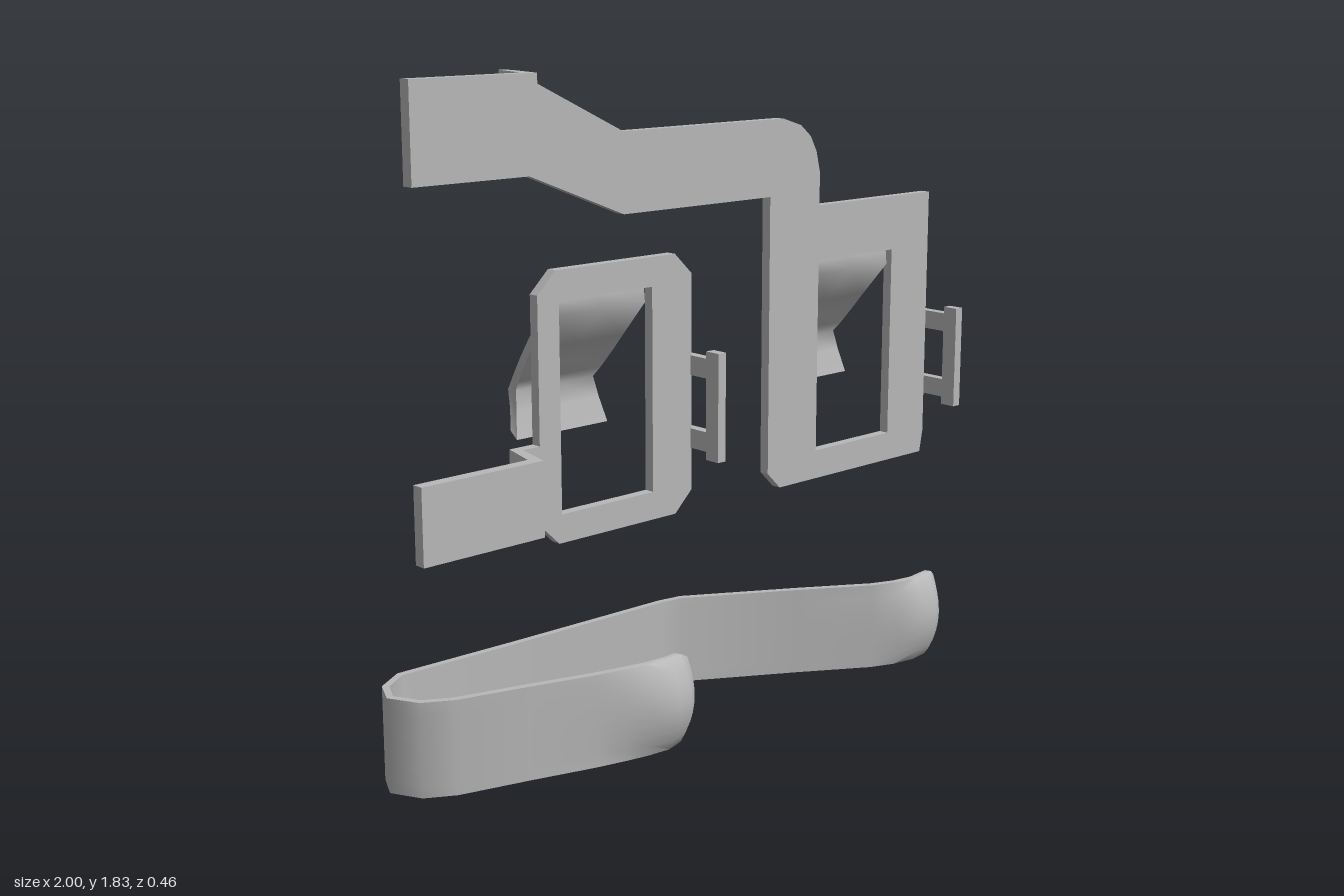
import * as THREE from 'three';
import { toCreasedNormals } from 'three/addons/utils/BufferGeometryUtils.js';

const metal = new THREE.MeshStandardMaterial({ color: 0xb8b8b8 });
metal.name = 'plain metal';

function add(parent, name, geometry) {
  const mesh = new THREE.Mesh(geometry, metal);
  mesh.name = name;
  parent.add(mesh);
  return mesh;
}

const toPoints = (list) => list.map(([x, y]) => new THREE.Vector2(x, y));

// Flat stamped plate with a rectangular window
function plate(outline, [x0, x1, y0, y1], z) {
  const shape = new THREE.Shape(toPoints(outline));
  shape.holes.push(new THREE.Path(toPoints([[x0, y0], [x0, y1], [x1, y1], [x1, y0]])));
  return new THREE.ExtrudeGeometry(shape, { depth: 0.03, bevelEnabled: false }).translate(0, 0, z);
}

// Tab stepped forward from the plate, as an (x, z) profile raised between two heights
function steppedTab(y0, y1, z) {
  const profile = [[-1, 0.145], [-0.63, 0.145], [-0.605, z + 0.03], [-0.605, z],
    [-0.625, z], [-0.655, 0.112], [-1, 0.112]];
  const shape = new THREE.Shape(toPoints(profile.map(([x, pz]) => [x, -pz])));
  return new THREE.ExtrudeGeometry(shape, { depth: y1 - y0, bevelEnabled: false })
    .rotateX(-Math.PI / 2).translate(0, y0, 0);
}

// Closed sheet between two grids of points: outer and inner
function sheet(outer, inner) {
  const pos = [];
  const quad = (a, b, c, d) => [a, b, c, a, c, d].forEach((p) => pos.push(...p));
  const n = outer.length - 1, m = outer[0].length - 1;
  for (let i = 0; i < n; i++) {
    for (let j = 0; j < m; j++) {
      quad(outer[i][j], outer[i][j + 1], outer[i + 1][j + 1], outer[i + 1][j]);
      quad(inner[i][j], inner[i + 1][j], inner[i + 1][j + 1], inner[i][j + 1]);
    }
    quad(outer[i][0], outer[i + 1][0], inner[i + 1][0], inner[i][0]);
    quad(outer[i][m], inner[i][m], inner[i + 1][m], outer[i + 1][m]);
  }
  for (let j = 0; j < m; j++) {
    quad(outer[0][j], inner[0][j], inner[0][j + 1], outer[0][j + 1]);
    quad(outer[n][j], outer[n][j + 1], inner[n][j + 1], inner[n][j]);
  }
  const geometry = new THREE.BufferGeometry();
  geometry.setAttribute('position', new THREE.Float32BufferAttribute(pos, 3));
  return toCreasedNormals(geometry, 1.1);
}

// Waisted spring tongue bent backwards out of a window
function tongue(cx) {
  // half width, outer y, outer z, inner y, inner z
  const rows = [
    [0.158, 1.245, -0.005, 1.2, 0.0], [0.158, 1.13, -0.1, 1.1, -0.09],
    [0.153, 1.07, -0.146, 1.05, -0.13], [0.143, 1.015, -0.19, 1.0, -0.168],
    [0.134, 0.97, -0.225, 0.972, -0.191], [0.143, 0.92, -0.206, 0.915, -0.178],
    [0.158, 0.867, -0.187, 0.845, -0.16],
  ];
  const grid = (k) => rows.map((r) => [-1, 0, 1].map((s) => [cx + s * r[0], r[k], r[k + 1]]));
  return sheet(grid(1), grid(3));
}

// Small ear at the plate edge: two legs carrying a bar
function ear(parent, x, z) {
  const group = new THREE.Group();
  group.name = 'sideEar';
  const box = (name, y0, y1, z0, z1) => add(group, name,
    new THREE.BoxGeometry(0.028, y1 - y0, z1 - z0).translate(x, (y0 + y1) / 2, (z0 + z1) / 2));
  box('earLowerLeg', 0.78, 0.835, z, 0.09);
  box('earUpperLeg', 0.985, 1.04, z, 0.09);
  box('earBar', 0.757, 1.06, 0.09, 0.138);
  parent.add(group);
}

// Hooked ribbon spring with dished, rounded ends
function ribbon() {
  // x, z, half height, forward bulge
  const rows = [
    [-0.13, 0.125, 0.07, 0.012], [-0.15, 0.138, 0.105, 0.03], [-0.19, 0.155, 0.127, 0.045],
    [-0.24, 0.167, 0.13, 0.048], [-0.31, 0.16, 0.13, 0.034], [-0.38, 0.145, 0.13, 0.014],
    [-0.46, 0.125, 0.13, 0], [-0.64, 0.07, 0.13, 0], [-0.83, 0.016, 0.13, 0],
    [-0.905, -0.027, 0.13, 0], [-0.945, -0.105, 0.13, 0], [-0.91, -0.175, 0.13, 0],
    [-0.835, -0.221, 0.13, 0], [-0.46, -0.205, 0.13, 0], [0.06, -0.19, 0.13, 0],
    [0.13, -0.178, 0.13, 0], [0.43, 0, 0.13, 0], [0.63, 0.125, 0.13, 0],
    [0.7, 0.153, 0.13, 0.02], [0.77, 0.165, 0.13, 0.042], [0.83, 0.157, 0.13, 0.045],
    [0.87, 0.142, 0.124, 0.036], [0.895, 0.13, 0.105, 0.022], [0.912, 0.12, 0.07, 0.01],
  ];
  const grid = (side) => rows.map(([x, z, h, bulge], i) => {
    const a = rows[Math.max(i - 1, 0)], b = rows[Math.min(i + 1, rows.length - 1)];
    const dx = b[0] - a[0], dz = b[1] - a[1], k = side * 0.01 / Math.hypot(dx, dz);
    const row = [];
    for (let j = 0; j <= 8; j++) {
      const v = j / 4 - 1;
      row.push([x + dz * k, 0.13 + v * h, z - dx * k + bulge * (1 - v * v)]);
    }
    return row;
  });
  return sheet(grid(1), grid(-1));
}

export function createModel() {
  const model = new THREE.Group();
  model.name = 'contactSet';

  // Large contact with its long cranked arm
  const large = new THREE.Group();
  large.name = 'largeContact';
  add(large, 'largePlate', plate([
    [-0.605, 1.83], [-0.605, 1.585], [-0.25, 1.445], [0.29, 1.445], [0.29, 0.645],
    [0.34, 0.595], [0.96, 0.595], [0.972, 0.66], [0.972, 1.405], [0.49, 1.405],
    [0.49, 1.5], [0.475, 1.56], [0.45, 1.605], [0.41, 1.638], [0.34, 1.66], [-0.25, 1.66],
  ], [0.49, 0.807, 0.68, 1.245], -0.012));
  add(large, 'largeTab', steppedTab(1.585, 1.83, -0.012));
  add(large, 'largeTongue', tongue(0.648));
  ear(large, 0.986, -0.012);

  // Small contact with a short arm
  const small = new THREE.Group();
  small.name = 'smallContact';
  add(small, 'smallPlate', plate([
    [-0.605, 0.875], [-0.605, 0.675], [-0.55, 0.675], [-0.55, 0.66], [-0.49, 0.602],
    [-0.08, 0.602], [-0.02, 0.66], [-0.02, 1.267], [-0.08, 1.325], [-0.49, 1.325],
    [-0.55, 1.267], [-0.55, 0.875],
  ], [-0.48, -0.162, 0.68, 1.245], -0.002));
  add(small, 'smallTab', steppedTab(0.675, 0.875, -0.002));
  add(small, 'smallTongue', tongue(-0.321));
  ear(small, -0.009, -0.002);

  model.add(large, small);
  add(model, 'ribbonSpring', ribbon());
  return model;
}
